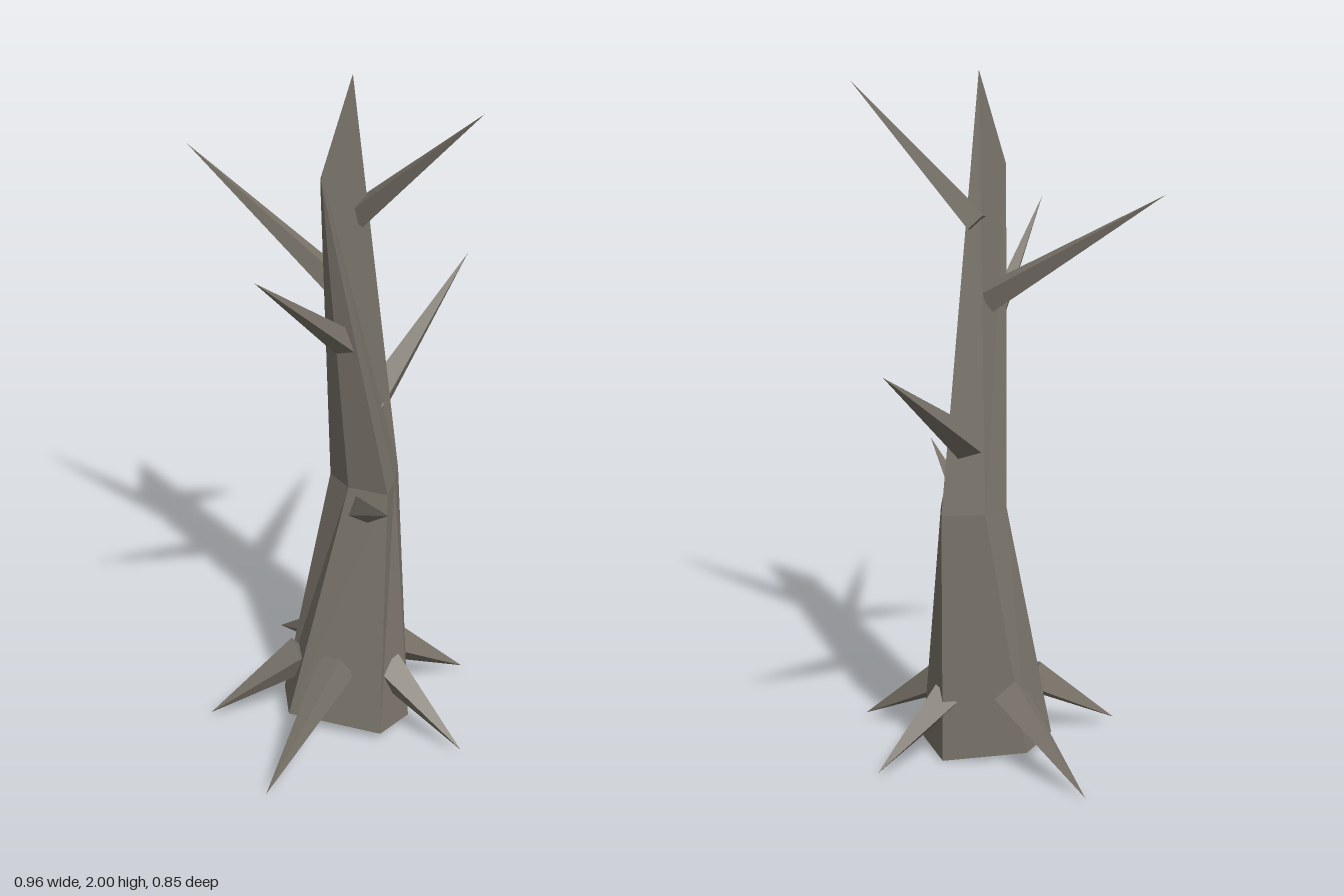
import * as THREE from 'three';

const V = (x, y, z) => new THREE.Vector3(x, y, z);

export function createModel() {
  const bark = new THREE.MeshStandardMaterial({
    color: 0x7a746a, flatShading: true, side: THREE.DoubleSide,
  });
  bark.name = 'bark';
  const tree = new THREE.Group();
  tree.name = 'deadTree';

  // trunk rings of six corners, starting at +x and turning towards +z
  const ring = (corners, height) => corners.map(([x, z]) => V(x, height(x), z));
  const foot = ring(
    [[0.12, 0.03], [0.062, 0.19], [-0.07, 0.247], [-0.265, 0.05], [-0.2, -0.09], [-0.07, -0.127]],
    (x) => (0.12 - x) * 0.12,
  );
  const waist = ring(
    [[0.12, 0.03], [0.07, 0.092], [0.01, 0.15], [-0.062, 0.055], [-0.065, -0.04], [0.02, -0.045]],
    () => 0.76,
  );

  // thin slanted blade at the broken top
  const shoulder = V(-0.155, 1.72, 0.07);
  const peak = V(-0.055, 2.0, 0.07);
  const blade = [
    [0.06, -0.002], [0.03, 0.003], [0, 0.007], [0, 0], [0.03, -0.004], [1, 0],
  ].map(([t, dz]) => shoulder.clone().lerp(peak, t).add(V(0, 0, dz)));

  // trunk skin, open underneath
  const points = [];
  const loft = (a, b) => a.forEach((corner, i) => {
    const j = (i + 1) % a.length;
    points.push(a[j], corner, b[i], a[j], b[i], b[j]);
  });
  loft(foot, waist);
  loft(waist, blade);
  for (let i = 1; i < blade.length - 1; i++) points.push(blade[0], blade[i + 1], blade[i]);
  const trunkGeo = new THREE.BufferGeometry().setFromPoints(points);
  trunkGeo.computeVertexNormals();
  const trunk = new THREE.Mesh(trunkGeo, bark);
  trunk.name = 'trunk';
  tree.add(trunk);

  // four-sided spike from a base point to a tip
  const addSpike = (name, base, tip, radius) => {
    const dir = tip.clone().sub(base);
    const length = dir.length();
    const geo = new THREE.ConeGeometry(radius, length, 4, 1);
    geo.translate(0, length / 2, 0);
    const spike = new THREE.Mesh(geo, bark);
    spike.name = name;
    spike.position.copy(base);
    spike.quaternion.setFromUnitVectors(V(0, 1, 0), dir.normalize());
    tree.add(spike);
  };

  // roots reaching down to the ground
  [
    [V(-0.14, 0.215, 0.12), V(-0.482, 0.003, 0.299)],
    [V(-0.185, 0.2, -0.005), V(-0.442, 0.02, -0.106)],
    [V(-0.05, 0.2, -0.075), V(-0.025, 0.003, -0.425)],
    [V(0.085, 0.185, 0.06), V(0.333, 0.013, 0.067)],
    [V(0, 0.19, 0.165), V(0.096, 0.013, 0.422)],
  ].forEach(([base, tip], i) => addSpike(`root${i + 1}`, base, tip, 0.057));

  // bare branches reaching up
  [
    [V(-0.018, 1.585, 0.035), V(0.146, 1.953, 0.383), 0.04],
    [V(-0.055, 1.365, 0.03), V(-0.298, 1.694, -0.414), 0.044],
    [V(-0.08, 1.23, 0.07), V(-0.453, 1.572, 0.245), 0.04],
    [V(0.045, 0.965, 0), V(0.48, 1.277, -0.168), 0.05],
    [V(-0.045, 0.705, 0.1), V(-0.134, 0.858, 0.384), 0.042],
  ].forEach(([base, tip, r], i) => addSpike(`branch${i + 1}`, base, tip, r));

  return tree;
}
